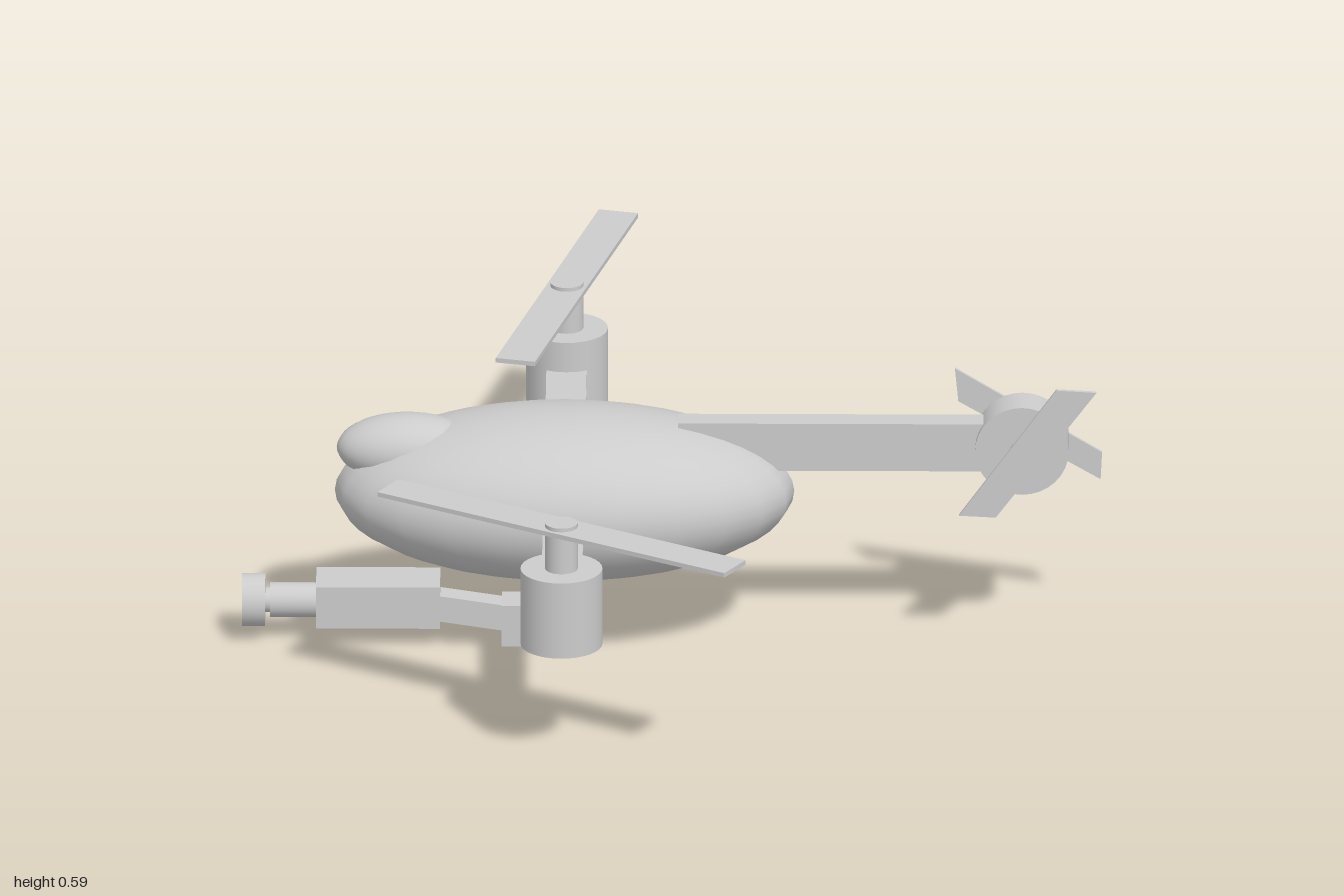
import * as THREE from 'three';

const MID_Z = 0.105; // the fuselage's own centre line

export function createModel() {
  const model = new THREE.Group();
  model.name = 'drone';
  const grey = new THREE.MeshStandardMaterial({ color: 0xcccccc });

  const add = (name, geometry, x, y, z, parent = model) => {
    const mesh = new THREE.Mesh(geometry, grey);
    mesh.name = name;
    mesh.position.set(x, y, z);
    parent.add(mesh);
    return mesh;
  };
  const box = (name, w, h, d, x, y, z, parent) =>
    add(name, new THREE.BoxGeometry(w, h, d), x, y, z, parent);
  const cylinder = (name, r, h, x, y, z, parent) =>
    add(name, new THREE.CylinderGeometry(r, r, h, 32), x, y, z, parent);
  const ellipsoid = (name, rx, ry, rz, x, y, z) =>
    add(name, new THREE.SphereGeometry(1, 24, 24).scale(rx, ry, rz), x, y, z);
  // Square bar running between two points of the centre plane
  const bar = (name, a, b, h, d, parent) => {
    const dx = b[0] - a[0], dy = b[1] - a[1];
    const mesh = box(name, Math.hypot(dx, dy), h, d, (a[0] + b[0]) / 2, (a[1] + b[1]) / 2, MID_Z, parent);
    mesh.rotation.z = Math.atan2(dy, dx);
    return mesh;
  };

  // Fuselage and nose dome
  ellipsoid('fuselage', 0.476, 0.176, 0.251, -0.225, 0.331, MID_Z - 0.002);
  ellipsoid('noseDome', 0.147, 0.072, 0.082, -0.55, 0.427, MID_Z);

  // Two lift rotors on side arms
  for (const [side, z, angle] of [['left', 0.742, -0.547], ['right', -0.582, 1.324]]) {
    const rotor = new THREE.Group();
    rotor.name = side + 'Rotor';
    rotor.position.set(-0.226, 0, z);
    model.add(rotor);
    const reach = MID_Z - z;
    box('rotorArm', 0.084, 0.033, Math.abs(reach), 0, 0.334, reach / 2, rotor);
    cylinder('motor', 0.085, 0.168, 0, 0.332, 0, rotor);
    cylinder('rotorShaft', 0.034, 0.12, 0, 0.458, 0, rotor);
    box('rotorBlade', 0.846, 0.01, 0.084, 0, 0.505, 0, rotor).rotation.y = angle;
  }

  // Tail boom, hub and axle
  box('tailBoom', 0.68, 0.105, 0.054, 0.35, 0.44, MID_Z);
  cylinder('tailHub', 0.097, 0.085, 0.723, 0.438, MID_Z - 0.002).rotation.x = Math.PI / 2;
  cylinder('tailAxle', 0.025, 0.168, 0.723, 0.438, MID_Z).rotation.x = Math.PI / 2;

  // Slanted tail blades, one on each side of the hub
  const tailBlades = [
    ['leftTailBlade', 0.19, [[0.593, 0.315], [0.669, 0.31], [0.878, 0.587], [0.795, 0.593]]],
    ['rightTailBlade', 0.02, [[0.59, 0.502], [0.885, 0.325], [0.888, 0.385], [0.583, 0.575]]],
  ];
  for (const [name, z, corners] of tailBlades) {
    const shape = new THREE.Shape(corners.map(([x, y]) => new THREE.Vector2(x - 0.723, y - 0.438)));
    const geometry = new THREE.ExtrudeGeometry(shape, { depth: 0.008, bevelEnabled: false });
    geometry.translate(0, 0, -0.004);
    add(name, geometry, 0.723, 0.438, z).rotation.y = 0.03;
  }

  // Camera hanging from a jointed arm
  const rig = new THREE.Group();
  rig.name = 'cameraRig';
  model.add(rig);
  bar('upperLink', [-0.305, 0.06], [-0.13, 0.222], 0.056, 0.052, rig);
  box('armJoint', 0.082, 0.09, 0.082, -0.314, 0.045, MID_Z + 0.004, rig);
  bar('lowerLink', [-0.5, 0.078], [-0.314, 0.05], 0.056, 0.052, rig);
  box('cameraBody', 0.257, 0.092, 0.112, -0.611, 0.091, MID_Z + 0.004, rig);
  for (const [name, r, x0, x1] of [
    ['lensBarrel', 0.036, -0.835, -0.735],
    ['lensNeck', 0.026, -0.85, -0.83],
    ['lensHood', 0.055, -0.893, -0.845],
  ]) {
    cylinder(name, r, x1 - x0, (x0 + x1) / 2, 0.085, MID_Z, rig).rotation.z = Math.PI / 2;
  }

  return model;
}
